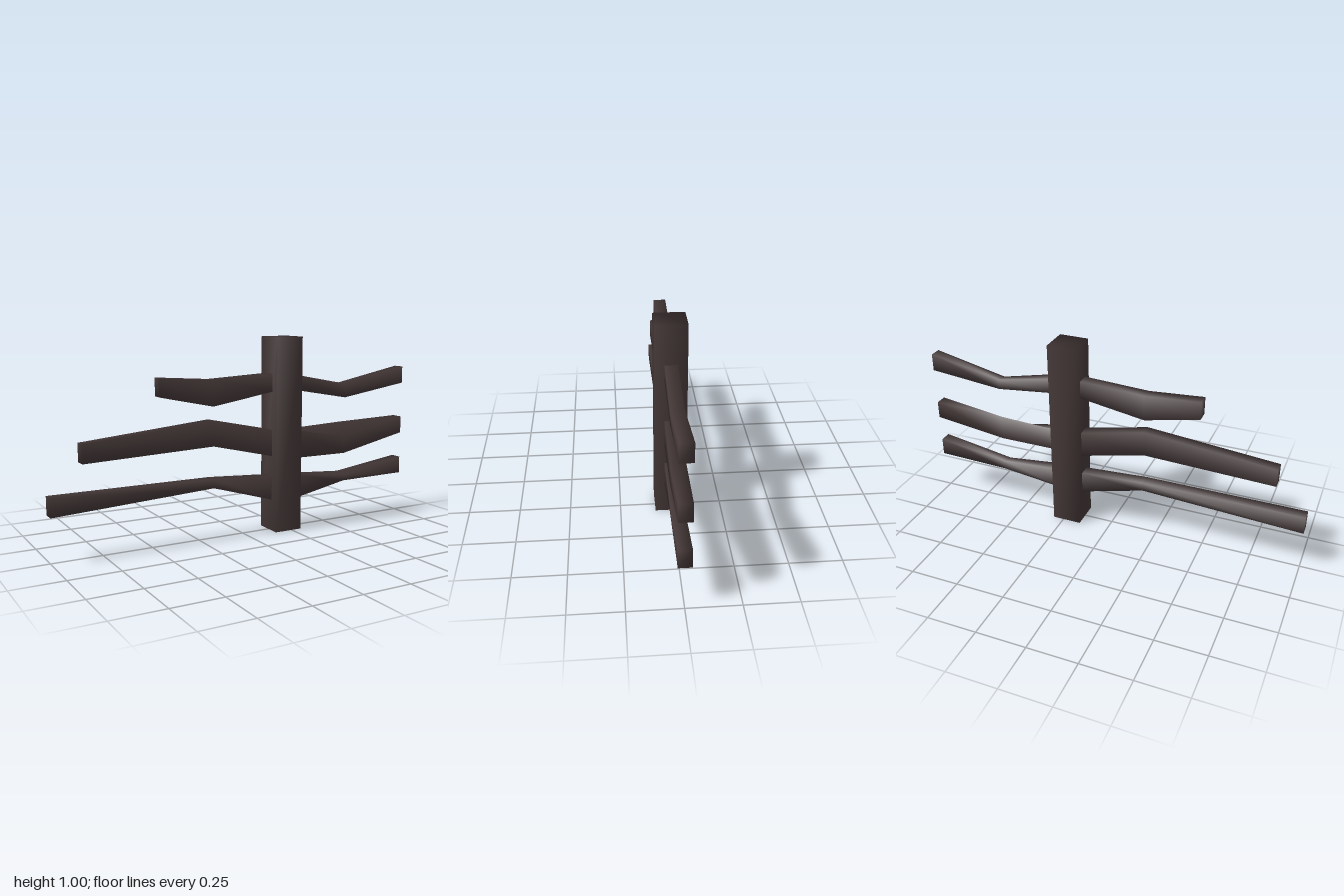
import * as THREE from 'three';
import { mergeVertices } from 'three/addons/utils/BufferGeometryUtils.js';

// Four-sided beam lofted along x with shared corners for soft shading.
// Each section: [x, front bottom, back bottom, back top, front top]
function beam(sections, halfDepth) {
  const pos = [], idx = [];
  for (const [x, bf, bb, tb, tf] of sections) {
    pos.push(x, bf, halfDepth, x, bb, -halfDepth, x, tb, -halfDepth, x, tf, halfDepth);
  }
  for (let s = 0; s < sections.length - 1; s++) {
    for (let i = 0; i < 4; i++) {
      const j = (i + 1) % 4, a = s * 4, b = a + 4;
      idx.push(a + i, a + j, b + j, a + i, b + j, b + i);
    }
  }
  const e = (sections.length - 1) * 4;
  idx.push(0, 2, 1, 0, 3, 2, e, e + 1, e + 2, e, e + 2, e + 3);
  const g = new THREE.BufferGeometry();
  g.setAttribute('position', new THREE.Float32BufferAttribute(pos, 3));
  g.setIndex(idx);
  g.computeVertexNormals();
  return g;
}

export function createModel() {
  const group = new THREE.Group();
  const wood = new THREE.MeshStandardMaterial({ color: 0x453838 });
  wood.name = 'dark wood';
  const add = (name, geometry) => {
    const mesh = new THREE.Mesh(geometry, wood);
    mesh.name = name;
    group.add(mesh);
    return mesh;
  };

  // Upright post, corners welded so the shading rolls over the edges
  let box = new THREE.BoxGeometry(0.15, 1.0, 0.152);
  box.deleteAttribute('normal');
  box.deleteAttribute('uv');
  box = mergeVertices(box);
  box.computeVertexNormals();
  add('post', box).position.set(0.23, 0.5, 0);

  // Three crooked rails passing through the post
  add('topRail', beam([
    [-0.46, 0.73, 0.73, 0.82, 0.82],
    [-0.18, 0.67, 0.67, 0.80, 0.80],
    [0.17, 0.727, 0.727, 0.817, 0.817],
    [0.29, 0.727, 0.727, 0.807, 0.807],
    [0.61, 0.67, 0.692, 0.745, 0.735],
    [1, 0.73, 0.73, 0.82, 0.82],
  ], 0.031));
  add('middleRail', beam([
    [-0.845, 0.45, 0.45, 0.54, 0.54],
    [-0.18, 0.473, 0.473, 0.60, 0.60],
    [0.17, 0.39, 0.39, 0.525, 0.525],
    [0.29, 0.37, 0.40, 0.517, 0.517],
    [0.61, 0.368, 0.40, 0.53, 0.46],
    [1, 0.45, 0.45, 0.54, 0.54],
  ], 0.031));
  add('bottomRail', beam([
    [-1, 0.22, 0.22, 0.31, 0.31],
    [-0.18, 0.263, 0.263, 0.308, 0.308],
    [0.17, 0.16, 0.17, 0.287, 0.287],
    [0.29, 0.153, 0.17, 0.28, 0.28],
    [0.61, 0.216, 0.21, 0.258, 0.245],
    [1, 0.22, 0.22, 0.31, 0.31],
  ], 0.031));

  return group;
}
